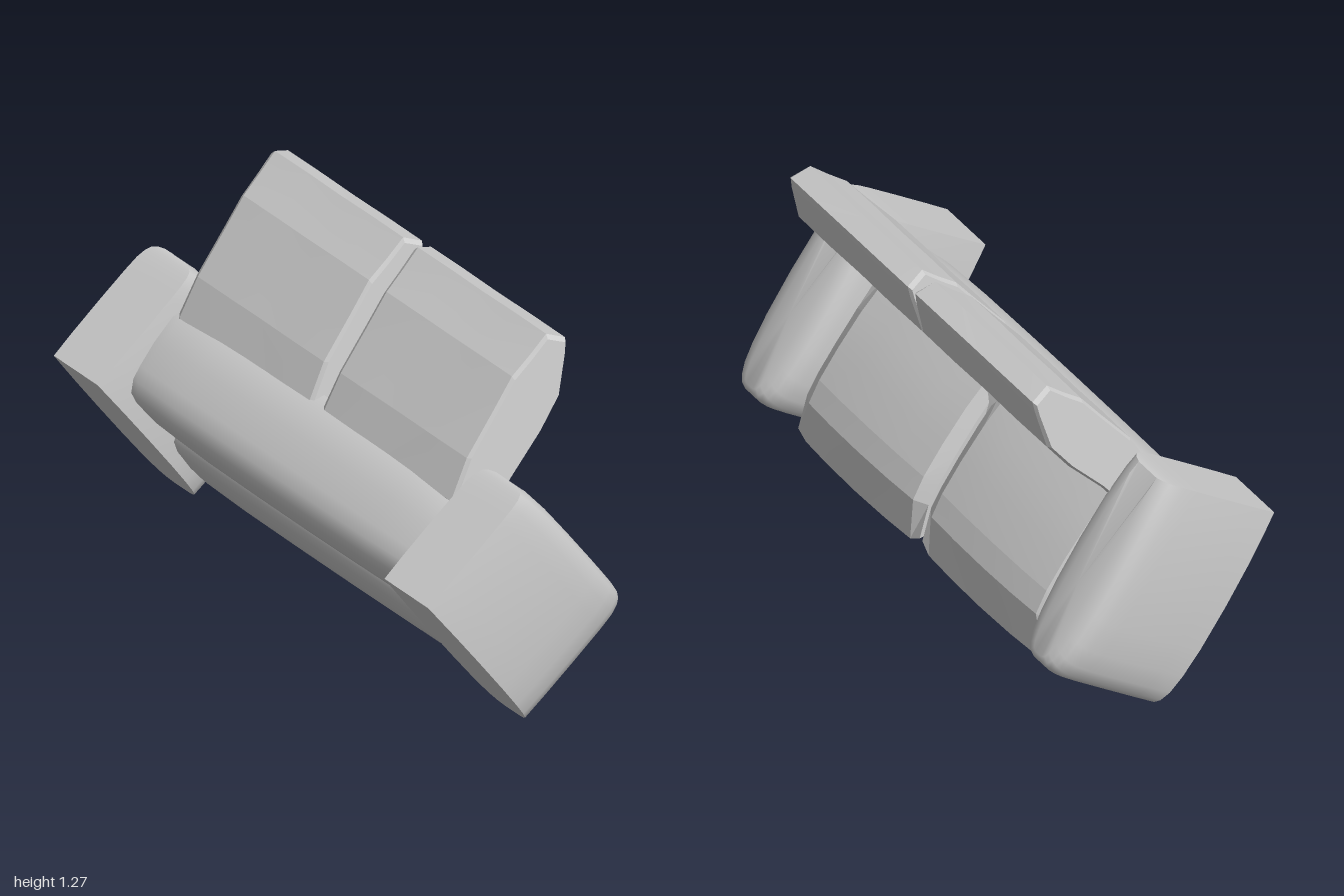
import * as THREE from 'three';
import { toCreasedNormals } from 'three/addons/utils/BufferGeometryUtils.js';

// Skin a list of closed rings (equal point counts) and cap both ends with fans.
function loft(rings, crease, capLift = 0) {
  const tris = [];
  const n = rings[0].length;
  for (let r = 0; r < rings.length - 1; r++) {
    for (let i = 0; i < n; i++) {
      const j = (i + 1) % n;
      const a = rings[r][i], b = rings[r][j], c = rings[r + 1][j], d = rings[r + 1][i];
      tris.push([a, b, c], [a, c, d]);
    }
  }
  [rings[0], rings[rings.length - 1]].forEach((ring, end) => {
    const mid = ring.reduce((m, p) => m.add(p), new THREE.Vector3()).divideScalar(n);
    if (end) mid.y += capLift;
    for (let i = 0; i < n; i++) {
      const a = ring[i], b = ring[(i + 1) % n];
      tris.push(end ? [a, b, mid] : [b, a, mid]);
    }
  });
  // Turn the faces outward whatever the ring direction
  let volume = 0;
  const cross = new THREE.Vector3();
  for (const [a, b, c] of tris) volume += a.dot(cross.crossVectors(b, c));
  const pts = [];
  for (const [a, b, c] of tris) pts.push(a, ...(volume < 0 ? [c, b] : [b, c]));
  const geo = new THREE.BufferGeometry().setFromPoints(pts);
  return toCreasedNormals(geo, crease);
}

// Sweep a [depth, height] profile along x; stations are [x, depth scale, height scale].
// Depth shrinks towards a centre line that leans with the part; flare widens the front.
function sweep(profile, stations, crease, lean = 0, flare = 0) {
  const cf = profile.reduce((s, p) => s + p[0], 0) / profile.length;
  const cu = profile.reduce((s, p) => s + p[1], 0) / profile.length;
  const cx = (stations[0][0] + stations[stations.length - 1][0]) / 2;
  return loft(stations.map(([x, sf, su]) => profile.map(([f, u]) => {
    const rise = u - cu;
    const off = f - cf - lean * rise;
    const depth = cf + lean * rise * su + off * sf;
    return new THREE.Vector3(x + (x - cx) * flare * off, cu + rise * su, -depth);
  })), crease);
}

// Arm: rounded-front plan stacked upward, drawn in at the top
function armGeometry(side) {
  const half = [[0, 0.118], [0.05, 0.124], [0.18, 0.135], [0.35, 0.14], [0.52, 0.137],
    [0.63, 0.127], [0.7, 0.112], [0.74, 0.092], [0.76, 0.07], [0.768, 0.04]];
  const plan = [...half, ...half.slice().reverse().map(([f, w]) => [f, -w])];
  const levels = [[0, 0.96, 1], [0.1, 0.99, 1], [0.25, 1, 1], [0.38, 0.99, 1], [0.44, 0.97, 0.997],
    [0.475, 0.92, 0.985], [0.495, 0.84, 0.972], [0.509, 0.68, 0.955], [0.517, 0.45, 0.93]];
  return loft(levels.map(([u, w, s]) => plan.map(([f, x]) => new THREE.Vector3(
    side * 0.858 + x * w, u * (1 - 0.035 * Math.exp(-f * 12)), -(f * s + (1 - s) * 0.2)))), 0.7, 0.008);
}

export function createModel() {
  const fabric = new THREE.MeshStandardMaterial({ color: 0xcccccc });
  fabric.name = 'greyFabric';

  const sofa = new THREE.Group();
  sofa.name = 'sofa';
  const add = (name, geo) => {
    const mesh = new THREE.Mesh(geo, fabric);
    mesh.name = name;
    sofa.add(mesh);
  };

  // Long padded parts between the arms
  const long = [[-0.76, 0.88], [-0.7, 0.93], [-0.5, 0.98], [-0.25, 0.995], [0, 1],
    [0.25, 0.995], [0.5, 0.98], [0.7, 0.93], [0.76, 0.88]].map(([x, s]) => [x, s, s]);
  const backrest = [[0.06, 0.4], [0.04, 0.35], [0.05, 0.24], [0.073, 0.14], [0.09, 0.09],
    [0.128, 0.05], [0.18, 0.04], [0.3, 0.042], [0.385, 0.052], [0.418, 0.08], [0.42, 0.34], [0.2, 0.41]];
  add('backrest', sweep(backrest, long, 0.7));
  const base = [[0.385, 0.16], [0.4, 0.09], [0.43, 0.05], [0.48, 0.036], [0.6, 0.032], [0.68, 0.036],
    [0.726, 0.052], [0.745, 0.1], [0.745, 0.2], [0.728, 0.26], [0.68, 0.29], [0.385, 0.29]];
  add('seatBase', sweep(base, long, 0.7));

  // Cushions, one pair for each side
  const seat = [[0.14, 0.27], [0.14, 0.4], [0.3, 0.43], [0.45, 0.442], [0.58, 0.444], [0.67, 0.432],
    [0.806, 0.348], [0.782, 0.305], [0.7, 0.27]];
  const back = [[0.05, 0.34], [-0.02, 0.477], [-0.07, 0.65], [-0.107, 0.77], [-0.112, 0.86],
    [-0.121, 0.948], [-0.056, 0.984], [-0.026, 0.955], [0.074, 0.84], [0.118, 0.71],
    [0.159, 0.523], [0.2, 0.4], [0.15, 0.33]];
  const seatStations = [[0.008, 0.88, 0.5], [0.055, 0.965, 0.93], [0.2, 0.99, 1], [0.37, 1, 1.02],
    [0.54, 0.99, 1], [0.675, 0.965, 0.93], [0.725, 0.9, 0.5]];
  const backStations = [[0.011, 0.9, 0.955], [0.025, 0.985, 0.996], [0.2, 1, 0.998], [0.371, 0.98, 0.993],
    [0.54, 1, 0.998], [0.717, 0.985, 0.996], [0.731, 0.9, 0.955]];

  for (const [label, side] of [['left', 1], ['right', -1]]) {
    const mirror = (list) => list.map(([x, sf, su]) => [x * side, sf, su]);
    add(label + 'Arm', armGeometry(side));
    add(label + 'SeatCushion', sweep(seat, mirror(seatStations), 0.12));
    add(label + 'BackCushion', sweep(back, mirror(backStations), 0.12, -0.27, 0.6));
  }

  // The whole sofa is tipped onto the front of its arms, facing -z
  sofa.rotation.x = -0.96;
  sofa.position.set(0, 0.63, 0.42);
  const model = new THREE.Group();
  model.name = 'tiltedSofa';
  model.add(sofa);
  return model;
}
